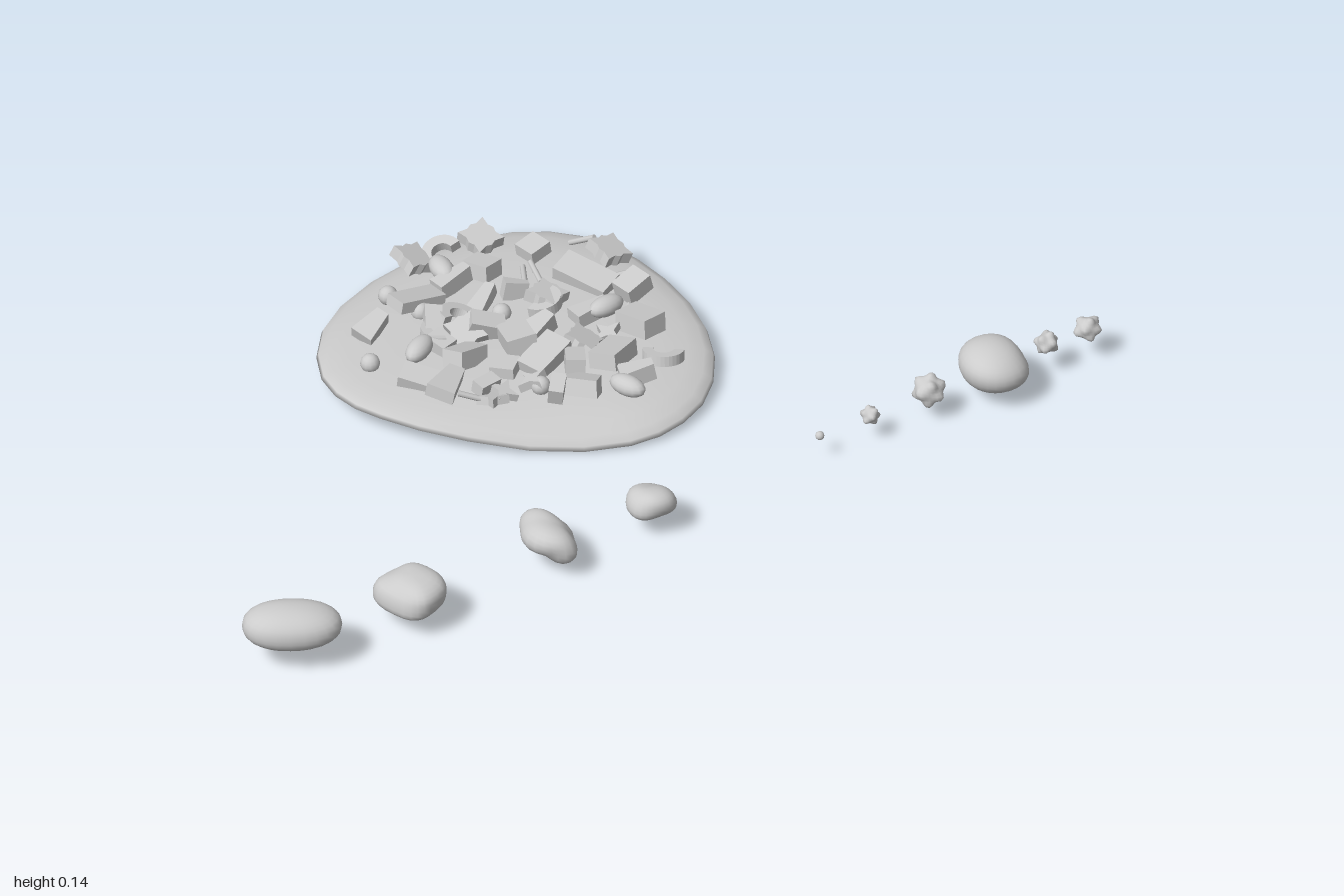
import * as THREE from 'three';
import { mergeVertices } from 'three/addons/utils/BufferGeometryUtils.js';

const smooth = new THREE.MeshStandardMaterial({ color: 0xcccccc });
const flat = new THREE.MeshStandardMaterial({ color: 0xcccccc, flatShading: true });

function seeded(seed) {
  let s = seed;
  return () => (s = (s * 16807) % 2147483647) / 2147483647;
}

// Drop seams so that shading runs smoothly round the form
function weld(geo) {
  geo.deleteAttribute('uv');
  geo.deleteAttribute('normal');
  const g = mergeVertices(geo, 1e-5);
  g.computeVertexNormals();
  return g;
}

// Low mound, hollow below, with a wavy lip: a lathe whose circle is stretched to the rim curve
function mound() {
  const rim = new THREE.CatmullRomCurve3([
    [0.04, 0.01, 0.21], [0.14, 0.018, 0.217], [0.24, 0.024, 0.175], [0.32, 0.032, 0.08],
    [0.365, 0.036, -0.05], [0.375, 0.029, -0.21], [0.35, 0.023, -0.345], [0.3, 0.018, -0.435],
    [0.2, 0.012, -0.51], [0.03, 0.01, -0.54], [-0.17, 0.016, -0.495], [-0.3, 0.028, -0.41],
    [-0.378, 0.036, -0.29], [-0.39, 0.042, -0.185], [-0.355, 0.042, -0.095],
    [-0.265, 0.032, 0.02], [-0.105, 0.008, 0.14],
  ].map((p) => new THREE.Vector3(...p)), true);
  // radius share, share of rim height, added height
  const profile = [[0, 0, 0.043], [0.4, 0.05, 0.042], [0.65, 0.35, 0.031], [0.82, 0.75, 0.012],
    [0.92, 0.95, 0], [0.97, 1, -0.003], [1, 1, 0.001], [0.99, 0.97, 0.011],
    [0.945, 0.8, 0.025], [0.86, 0.5, 0.042], [0.7, 0.25, 0.058], [0.45, 0.08, 0.067], [0, 0, 0.07]];
  const segs = 28, rows = profile.length;
  const geo = new THREE.LatheGeometry(profile.map((p) => new THREE.Vector2(p[0], p[2])), segs);
  const pos = geo.attributes.position;
  for (let i = 0; i < pos.count; i++) {
    const [s, k, add] = profile[i % rows];
    const r = rim.getPoint((Math.floor(i / rows) % segs) / segs);
    pos.setXYZ(i, 0.02 + (r.x - 0.02) * s, r.y * k + add, -0.17 + (r.z + 0.17) * s);
  }
  const mesh = new THREE.Mesh(weld(geo), smooth);
  mesh.name = 'mound';
  return mesh;
}

// Lumpy stone fitted to a box; round < 1 makes it blockier, knobs > 0 adds stubby points
function stone(name, [x, y, z], size, { turn = 0, seed, lump, round = 1, knobs = 0 }) {
  const rnd = seeded(seed * 7919 + 13);
  const waves = Array.from({ length: 4 }, () => ({
    d: new THREE.Vector3(rnd() - 0.5, rnd() - 0.5, rnd() - 0.5).normalize(), f: 1.5 + rnd() * 2.5, p: rnd() * 6,
  }));
  const points = Array.from({ length: knobs }, (_, i) => {
    const h = 1 - (2 * i + 1) / knobs, a = i * 2.4 + seed;
    const r = Math.sqrt(1 - h * h);
    return new THREE.Vector3(r * Math.cos(a), h, r * Math.sin(a));
  });
  const geo = weld(new THREE.SphereGeometry(1, 24, 16));
  const pos = geo.attributes.position, v = new THREE.Vector3(), up = new THREE.Vector3(0, 1, 0);
  const soften = (c) => Math.sign(c) * Math.pow(Math.abs(c), round);
  for (let i = 0; i < pos.count; i++) {
    v.fromBufferAttribute(pos, i).normalize();
    let r = 1;
    for (const w of waves) r += lump * Math.sin(v.dot(w.d) * w.f + w.p);
    for (const p of points) r += 0.42 * Math.pow(Math.max(0, v.dot(p)), 14);
    v.set(soften(v.x), soften(v.y), soften(v.z)).multiplyScalar(r);
    v.x *= size[0] / size[1];
    v.z *= (size[2] / size[1]) * (turn > 0 ? 0.78 : 1);
    v.applyAxisAngle(up, -turn);
    pos.setXYZ(i, v.x, v.y, v.z);
  }
  geo.center();
  const b = geo.boundingBox.getSize(v);
  geo.scale(size[0] / b.x, size[1] / b.y, size[2] / b.z);
  geo.computeVertexNormals();
  const mesh = new THREE.Mesh(geo, smooth);
  mesh.position.set(x, y, z);
  mesh.name = name;
  return mesh;
}

// Extruded flat piece lying on its side
function plate(shape, depth) {
  const g = new THREE.ExtrudeGeometry(shape, { depth, bevelEnabled: false, curveSegments: 8 });
  return g.center().rotateX(-Math.PI / 2);
}

function outline(n, radius) {
  const s = new THREE.Shape();
  for (let i = 0; i < n; i++) {
    const a = (i / n) * Math.PI * 2, r = radius(i, a);
    s[i ? 'lineTo' : 'moveTo'](r * Math.cos(a), r * Math.sin(a));
  }
  return s;
}

// Block that narrows toward one end
function block(w, h, d, taper) {
  const g = new THREE.BoxGeometry(w, h, d), p = g.attributes.position;
  for (let i = 0; i < p.count; i++) if (p.getX(i) > 0) p.setZ(i, p.getZ(i) * taper);
  return g;
}

function debris() {
  const group = new THREE.Group();
  group.name = 'debris';
  const rnd = seeded(4217);
  const add = (name, geo, mat, x, z, yaw, lift, tilt) => {
    const m = new THREE.Mesh(geo, mat);
    m.name = name;
    m.position.set(x, 0.06 + lift, z);
    m.rotation.set((rnd() - 0.5) * tilt, THREE.MathUtils.degToRad(yaw), (rnd() - 0.5) * tilt);
    group.add(m);
  };

  // Blocks: x, z, width, depth, yaw
  [[-0.115, -0.345, 0.11, 0.05, 5], [-0.02, -0.36, 0.08, 0.04, 5], [0.05, -0.36, 0.05, 0.06, 20],
    [0.17, -0.36, 0.05, 0.05, 10], [-0.235, -0.32, 0.07, 0.05, 20], [0.215, -0.235, 0.06, 0.12, 25],
    [-0.24, -0.125, 0.05, 0.09, 40], [-0.215, -0.07, 0.09, 0.06, 35], [-0.13, -0.14, 0.08, 0.05, 20],
    [-0.02, -0.12, 0.06, 0.08, -15], [0.045, -0.135, 0.06, 0.05, 10], [0, -0.05, 0.1, 0.06, 20],
    [-0.08, -0.07, 0.05, 0.05, 40], [0.015, 0.07, 0.05, 0.1, 25], [0.12, 0.015, 0.09, 0.06, 30],
    [0.22, -0.04, 0.06, 0.08, 15], [0.16, -0.13, 0.08, 0.045, 0], [0.265, -0.14, 0.06, 0.05, 10],
    [-0.13, -0.26, 0.07, 0.035, 60], [0, -0.28, 0.08, 0.04, 30], [-0.05, -0.19, 0.07, 0.04, -30],
    [0.04, 0.0, 0.06, 0.04, 60], [0.13, 0.09, 0.07, 0.045, -20], [-0.15, -0.2, 0.04, 0.05, 15],
    [-0.04, 0.06, 0.05, 0.03, 50], [0.07, -0.27, 0.05, 0.03, -20], [-0.15, -0.03, 0.05, 0.03, 10],
  ].forEach(([x, z, w, d, yaw], i) => {
    const h = 0.024 + 0.018 * rnd();
    add('block', block(w, h, d, i % 3 === 1 ? 0.55 : 1), flat, x, z, yaw, h / 2 + 0.02 * rnd(), 0.6);
  });

  // Notched square pieces
  const notched = outline(16, (i, a) => (0.034 / Math.max(Math.abs(Math.cos(a)), Math.abs(Math.sin(a)))) * (i % 2 ? 0.83 : 0.97));
  [[-0.05, -0.46, 5], [0.1, -0.445, 10], [0.11, -0.215, 25], [-0.09, -0.2, 0], [0.295, -0.275, 5], [0.09, -0.05, 30]]
    .forEach(([x, z, yaw]) => add('notchedPiece', plate(notched, 0.025), flat, x, z, yaw, 0.027, 0.9));

  // Half rings
  const arch = new THREE.Shape();
  arch.absarc(0, 0, 0.042, 0, Math.PI, false);
  arch.absarc(0, 0, 0.021, Math.PI, 0, true);
  [[0.01, -0.465, 0], [-0.08, -0.27, 10], [0.1, -0.19, 200], [0.195, 0.08, 140], [-0.15, -0.235, 70]]
    .forEach(([x, z, yaw]) => add('arch', plate(arch, 0.022), flat, x, z, yaw, 0.026, 0.7));

  // Small stars
  const star = outline(8, (i) => (i % 2 ? 0.013 : 0.033));
  [[0.15, -0.05, 10], [-0.13, 0.0, 40], [0.235, -0.07, 20], [-0.16, 0.01, 60], [-0.06, 0.0, 0]]
    .forEach(([x, z, yaw]) => add('star', plate(star, 0.018), flat, x, z, yaw, 0.02, 0.8));

  // Round beads
  [[-0.147, -0.4], [-0.297, -0.23], [0.013, -0.23], [0.085, -0.05], [-0.05, 0.015], [-0.12, -0.32]]
    .forEach(([x, z]) => add('bead', new THREE.SphereGeometry(0.02, 12, 8), smooth, x, z, 0, 0.014, 0));

  // Oval lumps
  [[-0.02, -0.4, 80], [0.085, 0.125, 110], [0.19, -0.12, 10], [-0.2, -0.2, 30]]
    .forEach(([x, z, yaw]) => add('ovalPiece', new THREE.SphereGeometry(0.042, 14, 10).scale(1, 0.5, 0.55), smooth, x, z, yaw, 0.03, 0.5));

  // Thin sticks
  [[0.27, -0.335, 110], [0.11, -0.3, 60], [0.135, -0.295, 75], [-0.19, -0.01, 150], [0.26, -0.2, 160]]
    .forEach(([x, z, yaw]) => add('stick', new THREE.CylinderGeometry(0.006, 0.006, 0.07, 8).rotateZ(Math.PI / 2), smooth, x, z, yaw, 0.025, 0.8));
  return group;
}

export function createModel() {
  const model = new THREE.Group();
  model.name = 'rockDisplay';
  model.add(mound(), debris());

  // Row of stones along the front
  model.add(
    stone('largeOvalStone', [-0.908, 0.096, 0.442], [0.185, 0.09, 0.15], { turn: 0.55, seed: 1, lump: 0.02, round: 0.9 }),
    stone('squareStone', [-0.637, 0.08, 0.458], [0.128, 0.082, 0.145], { turn: -0.3, seed: 2, lump: 0.07, round: 0.75 }),
    stone('tallStone', [-0.305, 0.073, 0.442], [0.108, 0.078, 0.152], { turn: -0.1, seed: 3, lump: 0.11, round: 0.95 }),
    stone('lumpyStone', [-0.068, 0.073, 0.45], [0.1, 0.065, 0.1], { seed: 4, lump: 0.15, round: 0.9 }),
    stone('tinyPebble', [0.34, 0.06, 0.437], [0.018, 0.018, 0.018], { seed: 5, lump: 0.02 }),
    stone('eggStone', [0.745, 0.076, 0.442], [0.13, 0.1, 0.152], { seed: 8, lump: 0.05, round: 0.95 }),
  );
  // Knobbly pebbles: x, y, size
  [[0.46, 0.063, 0.04], [0.597, 0.069, 0.068], [0.877, 0.076, 0.05], [0.968, 0.076, 0.056]]
    .forEach(([x, y, s], i) => model.add(stone('knobblyPebble', [x, y, 0.437], [s, s, s], { seed: 11 + i, lump: 0.02, knobs: 11 })));
  return model;
}
